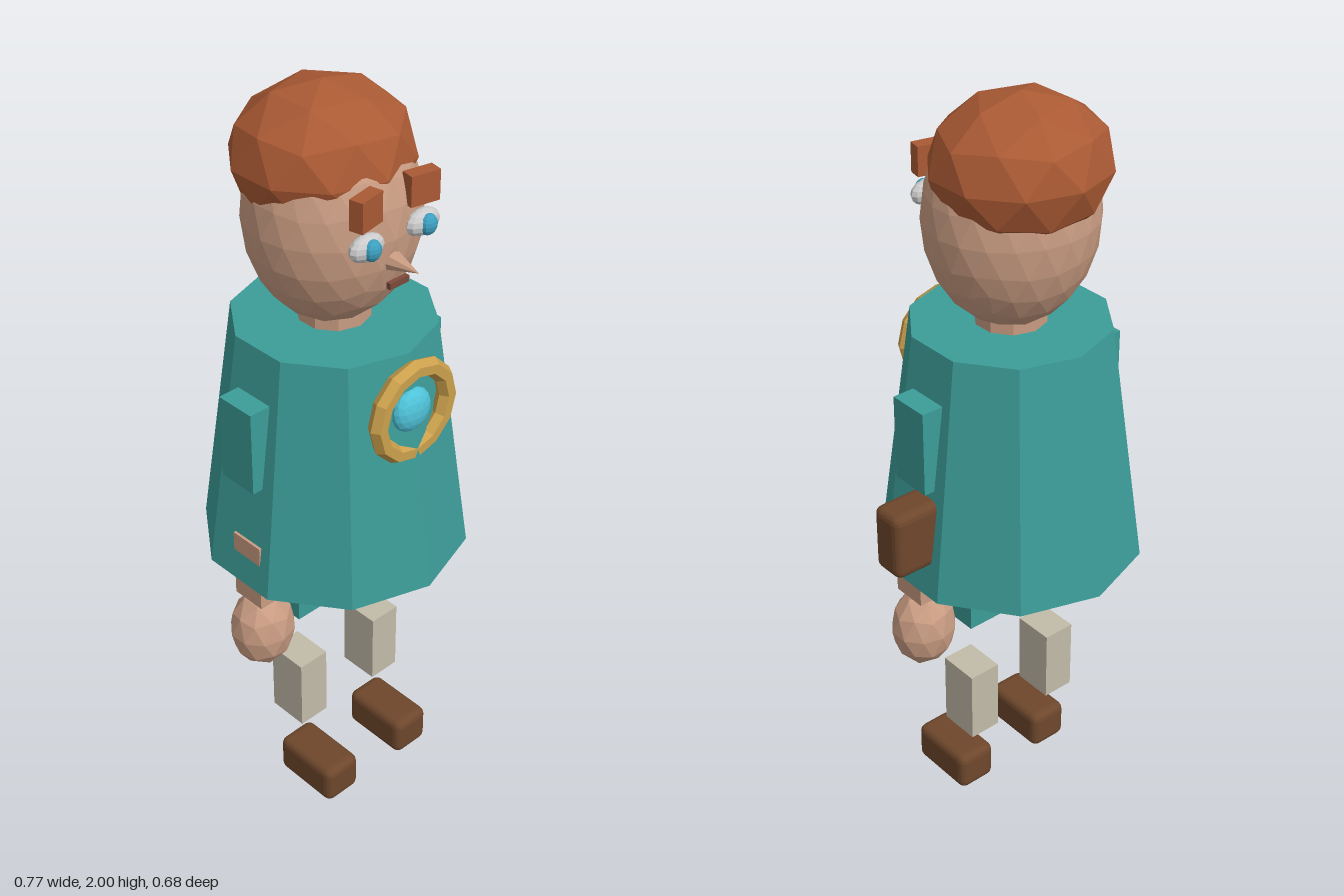
import * as THREE from 'three';
import { RoundedBoxGeometry } from 'three/addons/geometries/RoundedBoxGeometry.js';

const CX = -0.03; // body axis

const mat = (color) => new THREE.MeshStandardMaterial({ color, flatShading: true });
const M = {
  skin: mat(0xc99c82), hair: mat(0xaa5a34), teal: mat(0x3c9c98), leather: mat(0x6e472c),
  gold: mat(0xcba04c), gem: mat(0x4fc3d9), cloth: mat(0xc2bba9), white: mat(0xe8e8e8),
  iris: mat(0x3d9fc0), lip: mat(0x7d4a3c),
};

// Faceted ellipsoid with one vertex pointing straight up
function icoBall(detail, rx, ry, rz) {
  return new THREE.IcosahedronGeometry(1, detail)
    .rotateX(-Math.atan((1 + Math.sqrt(5)) / 2))
    .rotateY(Math.PI / 2)
    .scale(rx, ry, rz);
}

export function createModel() {
  const model = new THREE.Group();
  model.name = 'figure';

  // x is measured from the body axis
  const add = (name, geometry, material, x, y, z) => {
    const mesh = new THREE.Mesh(geometry, material);
    mesh.name = name;
    mesh.position.set(CX + x, y, z);
    model.add(mesh);
    return mesh;
  };
  const box = (w, h, d) => new THREE.BoxGeometry(w, h, d);

  // Tunic and neck
  add('tunic', new THREE.CylinderGeometry(0.252, 0.342, 0.64, 10), M.teal, 0, 1.1, 0);
  add('neck', new THREE.CylinderGeometry(0.09, 0.09, 0.1, 10), M.skin, 0, 1.41, 0);

  // Head and hair cap
  add('head', icoBall(3, 0.218, 0.272, 0.204), M.skin, 0, 1.692, -0.003);
  add('hair', icoBall(1, 0.226, 0.174, 0.211), M.hair, 0, 1.826, -0.034);

  // Nose and mouth
  add('nose', new THREE.ConeGeometry(0.026, 0.085, 8).rotateX(Math.PI / 2), M.skin, 0, 1.638, 0.232);
  add('mouth', box(0.06, 0.016, 0.012), M.lip, 0, 1.59, 0.21);

  // Medallion on the chest
  add('medallionRing', new THREE.TorusGeometry(0.113, 0.024, 6, 12), M.gold, 0, 1.27, 0.267);
  add('medallionGem', icoBall(2, 0.058, 0.058, 0.03), M.gem, 0, 1.27, 0.262);

  for (const s of [1, -1]) {
    const side = s > 0 ? 'left' : 'right';

    // Eyes and brows
    add(side + 'Eye', new THREE.SphereGeometry(1, 12, 8).scale(0.05, 0.032, 0.026), M.white, s * 0.087, 1.705, 0.197);
    add(side + 'Iris', new THREE.SphereGeometry(1, 10, 8).scale(0.024, 0.026, 0.02), M.iris, s * 0.087, 1.705, 0.215);
    const brow = add(side + 'Brow', box(0.077, 0.075, 0.036), M.hair, s * 0.085, 1.793, 0.193);
    brow.rotation.y = -s * 0.2;

    // Arms
    add(side + 'UpperArm', box(0.084, 0.225, 0.111), M.teal, s * 0.273, 1.183, 0);
    add(side + 'Forearm', box(0.084, 0.19, 0.095), M.skin, s * 0.273, 0.815, 0.022);
    add(side + 'Hand', icoBall(1, 0.087, 0.112, 0.08), M.skin, s * 0.272, 0.612, 0.022);

    // Legs
    add(side + 'Thigh', box(0.102, 0.22, 0.122), M.teal, s * 0.132, 0.71, 0);
    add(side + 'Shin', box(0.09, 0.206, 0.113), M.cloth, s * 0.132, 0.322, 0.002);
    add(side + 'Shoe', new RoundedBoxGeometry(0.113, 0.112, 0.2, 2, 0.022), M.leather, s * 0.132, 0.06, 0.076);
  }

  // Satchel on the left hip
  add('satchel', new RoundedBoxGeometry(0.15, 0.18, 0.096, 2, 0.022), M.leather, 0.338, 0.955, -0.023);

  return model;
}
